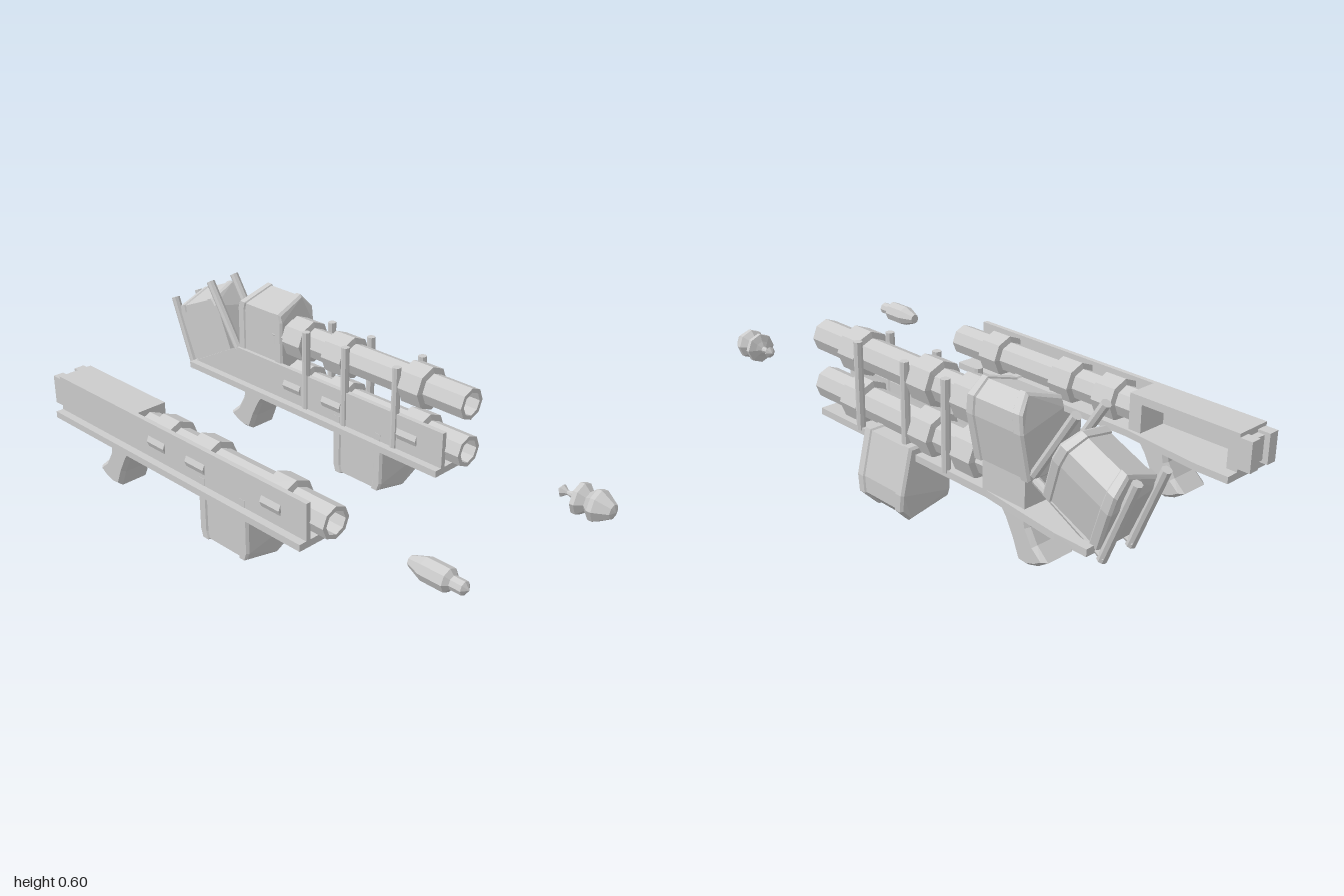
import * as THREE from 'three';

const material = new THREE.MeshStandardMaterial({ color: 0xcccccc, flatShading: true });

function add(parent, name, geometry, x = 0, y = 0, z = 0) {
  const mesh = new THREE.Mesh(geometry, material);
  mesh.name = name;
  mesh.position.set(x, y, z);
  parent.add(mesh);
  return mesh;
}

// Box given by its minimum and maximum on each axis
function box(parent, name, x0, x1, y0, y1, z0, z1) {
  return add(parent, name, new THREE.BoxGeometry(x1 - x0, y1 - y0, z1 - z0),
    (x0 + x1) / 2, (y0 + y1) / 2, (z0 + z1) / 2);
}

// Eight-sided turned part along z, from [radius, z] pairs running back to front
function turned(parent, name, profile, x, y) {
  const points = profile.map(([r, z]) => new THREE.Vector2(r, z));
  return add(parent, name, new THREE.LatheGeometry(points, 8).rotateX(Math.PI / 2), x, y, 0);
}

// Eight-sided rod between two points
function rod(parent, name, from, to, radius) {
  const a = new THREE.Vector3(...from), b = new THREE.Vector3(...to);
  const dir = b.clone().sub(a);
  const mesh = add(parent, name, new THREE.CylinderGeometry(radius, radius, dir.length(), 8));
  mesh.position.copy(a).add(b).multiplyScalar(0.5);
  mesh.quaternion.setFromUnitVectors(new THREE.Vector3(0, 1, 0), dir.normalize());
  return mesh;
}

const toShape = (points) => new THREE.Shape(points.map(([x, y]) => new THREE.Vector2(x, y)));

// Barrel with three raised collars and an open bore
function barrel(parent, name, y) {
  const thin = 0.056, wide = 0.077, e = 0.005;
  const profile = [[0, -0.43], [thin, -0.43]];
  for (const [z0, z1] of [[-0.36, -0.265], [-0.165, -0.065], [0.19, 0.285]]) {
    profile.push([thin, z0], [wide, z0 + e], [wide, z1 - e], [thin, z1]);
  }
  profile.push([thin, 0.445], [0.041, 0.445], [0.041, 0.33], [0, 0.33]);
  return turned(parent, name, profile, 0, y);
}

// Faceted canister: recessed body between two raised rims, narrowing in z toward its tip at y = 0
function canister(parent, name) {
  const group = new THREE.Group();
  group.name = name;
  parent.add(group);
  const outline = [[-0.07, 0.27], [-0.07, 0.075], [-0.07, 0.045], [0.083, 0.003],
    [0.133, 0.055], [0.133, 0.115], [0.095, 0.27]];
  const slab = (part, points, depth, z, bevel) => {
    const geometry = new THREE.ExtrudeGeometry(toShape(points), {
      depth: depth - 2 * bevel, bevelEnabled: bevel > 0, bevelThickness: bevel,
      bevelSize: bevel, bevelOffset: -bevel, bevelSegments: 1,
    });
    geometry.translate(0, 0, z - depth / 2 + bevel);
    const pos = geometry.attributes.position;
    for (let i = 0; i < pos.count; i++) {
      const taper = Math.max(0, 0.075 - pos.getY(i)) / 0.075;
      pos.setZ(i, pos.getZ(i) * (1 - 0.22 * taper));
    }
    geometry.computeVertexNormals();
    add(group, part, geometry);
  };
  const inner = outline.map(([x, y]) => [0.03 + (x - 0.03) * 0.95, 0.14 + (y - 0.14) * 0.96]);
  slab('canisterBody', inner, 0.17, 0, 0);
  slab('canisterRim', outline, 0.042, 0.0965, 0.008);
  slab('canisterRim', outline, 0.042, -0.0965, 0.008);
  return group;
}

// Parts shared by both launchers, centred on the barrel axis
function launcherBase(name, x) {
  const group = new THREE.Group();
  group.name = name;
  group.position.x = x;

  // Base plate, wider toward the rear
  const plate = toShape([[-0.097, -0.39], [0.075, -0.39], [0.075, 0.43], [0.095, 0.6],
    [0.11, 0.74], [0.11, 0.86], [-0.097, 0.86]]);
  const plateGeometry = new THREE.ExtrudeGeometry(plate, { depth: 0.024, bevelEnabled: false });
  plateGeometry.rotateX(-Math.PI / 2);
  add(group, 'basePlate', plateGeometry, 0, 0.22, 0);

  barrel(group, 'lowerBarrel', 0.303);
  canister(group, 'magazine').position.z = 0.01;

  // Curved grip, drawn in (-z, y) and extruded across x
  const grip = new THREE.Shape();
  grip.moveTo(0.45, 0.23);
  grip.quadraticCurveTo(0.51, 0.15, 0.545, 0.05);
  grip.quadraticCurveTo(0.6, 0.035, 0.66, 0.085);
  grip.quadraticCurveTo(0.58, 0.14, 0.575, 0.23);
  grip.closePath();
  const gripGeometry = new THREE.ExtrudeGeometry(grip, {
    depth: 0.1, bevelThickness: 0.015, bevelSize: 0.012, bevelOffset: -0.012,
    bevelSegments: 1, curveSegments: 3,
  });
  gripGeometry.rotateY(Math.PI / 2);
  add(group, 'grip', gripGeometry, -0.055, 0, 0);
  return group;
}

// Side wall on the model's right, from [-z, y] points
function sideWall(parent, points) {
  const geometry = new THREE.ExtrudeGeometry(toShape(points), { depth: 0.018, bevelEnabled: false });
  geometry.rotateY(Math.PI / 2);
  add(parent, 'sideWall', geometry, -0.069, 0, 0);
}

function singleLauncher() {
  const group = launcherBase('singleLauncher', -0.333);
  sideWall(group, [[-0.39, 0.24], [0.86, 0.24], [0.86, 0.373], [-0.39, 0.373]]);

  // Rear housing, open on the model's left
  box(group, 'housingRoof', -0.069, 0.065, 0.345, 0.373, -0.86, -0.43);
  box(group, 'housingFront', -0.069, 0.065, 0.24, 0.35, -0.48, -0.43);
  box(group, 'housingRear', -0.069, 0.065, 0.24, 0.35, -0.86, -0.82);

  // Stepped tail
  box(group, 'tailCore', -0.04, 0.04, 0.265, 0.35, -0.885, -0.855);
  for (const side of [-1, 1]) {
    box(group, 'tailBlock', side * 0.045 - 0.02, side * 0.045 + 0.02, 0.255, 0.36, -0.905, -0.855);
  }
  return group;
}

function doubleLauncher() {
  const group = launcherBase('doubleLauncher', 0.292);
  sideWall(group, [[-0.39, 0.24], [0.86, 0.24], [0.61, 0.373], [-0.39, 0.373]]);
  barrel(group, 'upperBarrel', 0.475);

  // Posts tying the two barrels together
  for (const z of [0.178, -0.055, -0.245]) {
    for (const x of [-0.063, 0.068]) rod(group, 'barrelPost', [x, 0.235, z], [x, 0.54, z], 0.015);
  }

  // Upright canister over its mount
  box(group, 'canisterMount', -0.06, 0.075, 0.24, 0.35, -0.59, -0.415);
  const upright = canister(group, 'receiverCanister');
  upright.position.set(0, 0.605, -0.495);
  upright.rotation.x = Math.PI;
  upright.scale.x = 0.84;

  // Canister leaning back at the rear, held between two pairs of rods
  const leaning = canister(group, 'rearCanister');
  leaning.position.set(0, 0.524, -0.874);
  leaning.rotation.x = Math.PI - 0.41;
  leaning.scale.x = 0.84;
  for (const x of [-0.055, 0.063]) {
    rod(group, 'frontRod', [x, 0.36, -0.615], [x, 0.59, -0.765], 0.016);
    rod(group, 'rearRod', [x, 0.2, -0.875], [x, 0.47, -0.982], 0.016);
    rod(group, 'cradleRod', [x, 0.345, -0.62], [x, 0.21, -0.89], 0.014);
  }
  return group;
}

export function createModel() {
  const model = new THREE.Group();
  model.name = 'launcherSet';
  model.add(singleLauncher(), doubleLauncher());

  // Loose rounds in front of the launchers
  turned(model, 'slimRound', [[0, 0.735], [0.018, 0.735], [0.038, 0.79], [0.038, 0.872],
    [0.022, 0.885], [0.022, 0.925], [0, 0.94]], -0.333, 0.307);
  turned(model, 'ringedRound', [[0, 0.795], [0.021, 0.812], [0.007, 0.83], [0.012, 0.85],
    [0.03, 0.86], [0.054, 0.87], [0.054, 0.885], [0.033, 0.907], [0.054, 0.93],
    [0.054, 0.945], [0.025, 0.992], [0, 1]], 0.292, 0.307);
  return model;
}
